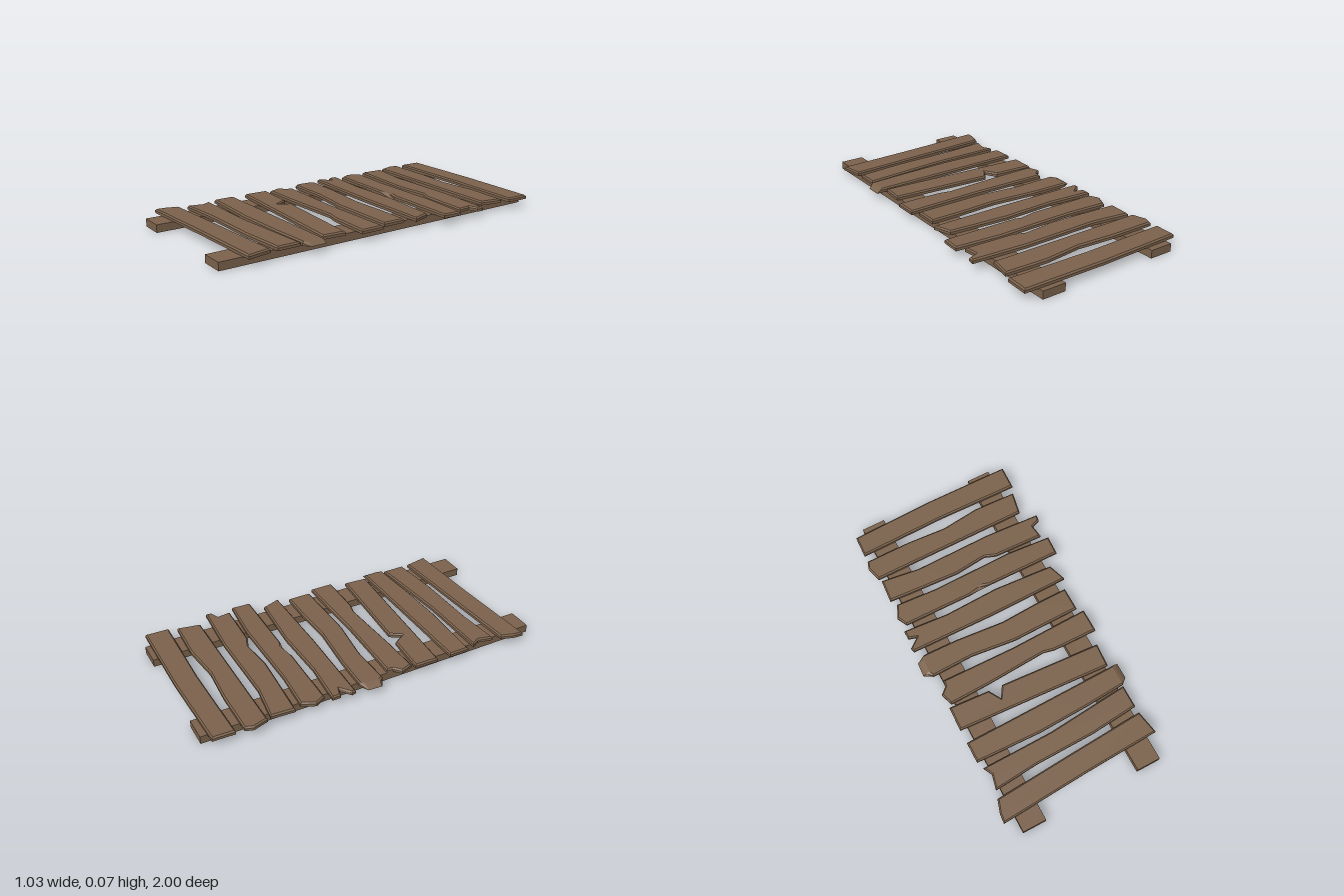
import * as THREE from 'three';

const BEAM_TOP = 0.045, PLANK = 0.023, BEVEL = 0.008;

// Plank from an outline of [x, z] corners, chamfered along its top edge.
// Each chip [x, z, radius, dx, dz] slopes the edge inward near one point.
function plankGeometry(outline, chips = []) {
  const shape = new THREE.Shape(outline.map(([x, z]) => new THREE.Vector2(x, -z)));
  const geo = new THREE.ExtrudeGeometry(shape, {
    depth: PLANK - BEVEL, bevelEnabled: true, bevelSegments: 1,
    bevelThickness: BEVEL, bevelSize: BEVEL, bevelOffset: -BEVEL,
  });
  geo.rotateX(-Math.PI / 2);
  const p = geo.attributes.position;
  for (let i = 0; i < p.count; i++) {
    const x = p.getX(i), z = p.getZ(i);
    const y = Math.max(0, p.getY(i)); // flat underside
    let nx = x, nz = z;
    for (const [cx, cz, r, dx, dz] of chips) {
      if (Math.hypot(x - cx, z - cz) < r) {
        nx += dx * y / PLANK;
        nz += dz * y / PLANK;
      }
    }
    p.setXYZ(i, nx, y + BEAM_TOP, nz);
  }
  geo.computeVertexNormals();
  return geo;
}

export function createModel() {
  const model = new THREE.Group();
  model.name = 'plankWalkway';
  const wood = new THREE.MeshStandardMaterial({ color: 0x7b624c });
  wood.name = 'brown wood';

  const add = (name, geo) => {
    const mesh = new THREE.Mesh(geo, wood);
    mesh.name = name;
    model.add(mesh);
    return mesh;
  };

  // Two long beams underneath
  for (const [name, x] of [['rightBeam', -0.367], ['leftBeam', 0.333]]) {
    add(name, new THREE.BoxGeometry(0.137, BEAM_TOP, 2)).position.set(x, BEAM_TOP / 2, 0);
  }

  // Weathered cross planks, back to front
  let n = 0;
  const plank = (outline, chips) => add(`plank${++n}`, plankGeometry(outline, chips));

  plank([[-0.495, -0.96], [0, -0.975], [0.485, -0.97], [0.48, -0.835], [0, -0.845], [-0.5, -0.835]]);
  plank([[-0.5, -0.79], [-0.23, -0.79], [-0.01, -0.775], [0.21, -0.8], [0.46, -0.79],
    [0.435, -0.66], [-0.49, -0.66], [-0.515, -0.745]]);
  plank([[-0.48, -0.64], [-0.26, -0.61], [0.19, -0.615], [0.515, -0.595], [0.51, -0.56], [0.46, -0.54],
    [0.47, -0.465], [0.18, -0.475], [0.115, -0.5], [-0.07, -0.48], [-0.26, -0.49], [-0.49, -0.505]]);
  plank([[-0.465, -0.465], [-0.23, -0.45], [0.24, -0.455], [0.505, -0.435], [0.5, -0.325], [0.06, -0.33],
    [-0.01, -0.33], [-0.07, -0.325], [-0.47, -0.33], [-0.5, -0.39]], [[-0.01, -0.33, 0.03, 0, -0.025]]);
  plank([[-0.5, -0.3], [-0.24, -0.28], [0.08, -0.29], [0.425, -0.265], [0.46, -0.16], [0, -0.155],
    [-0.505, -0.165], [-0.51, -0.19], [-0.45, -0.235], [-0.5, -0.25]]);
  plank([[-0.465, -0.12], [-0.26, -0.115], [0.02, -0.09], [0.24, -0.1], [0.43, -0.1], [0.43, 0.035],
    [0.03, 0.04], [-0.23, 0.01], [-0.47, 0.015], [-0.52, -0.015], [-0.515, -0.095]],
  [[-0.52, -0.015, 0.03, 0.03, 0], [-0.515, -0.095, 0.03, 0.03, 0]]);
  plank([[-0.435, 0.065], [0, 0.075], [0.46, 0.065], [0.46, 0.2], [0.2, 0.195], [0.135, 0.18],
    [-0.23, 0.2], [-0.455, 0.205], [-0.48, 0.135], [-0.44, 0.1]]);
  plank([[-0.475, 0.22], [-0.24, 0.235], [-0.2, 0.305], [-0.16, 0.24], [0.425, 0.28],
    [0.415, 0.415], [-0.48, 0.36]]);
  plank([[-0.48, 0.44], [0, 0.435], [0.47, 0.43], [0.47, 0.52], [0.435, 0.55], [0.2, 0.565],
    [-0.1, 0.575], [-0.48, 0.56]], [[0.47, 0.43, 0.03, -0.03, 0], [0.47, 0.52, 0.03, -0.03, 0]]);
  plank([[-0.465, 0.605], [-0.05, 0.6], [0.43, 0.56], [0.43, 0.69], [0.15, 0.715], [-0.2, 0.72],
    [-0.46, 0.74], [-0.44, 0.655]]);
  plank([[-0.475, 0.785], [0, 0.755], [0.43, 0.73], [0.455, 0.865], [0, 0.885], [-0.505, 0.915], [-0.5, 0.86]]);

  return model;
}
